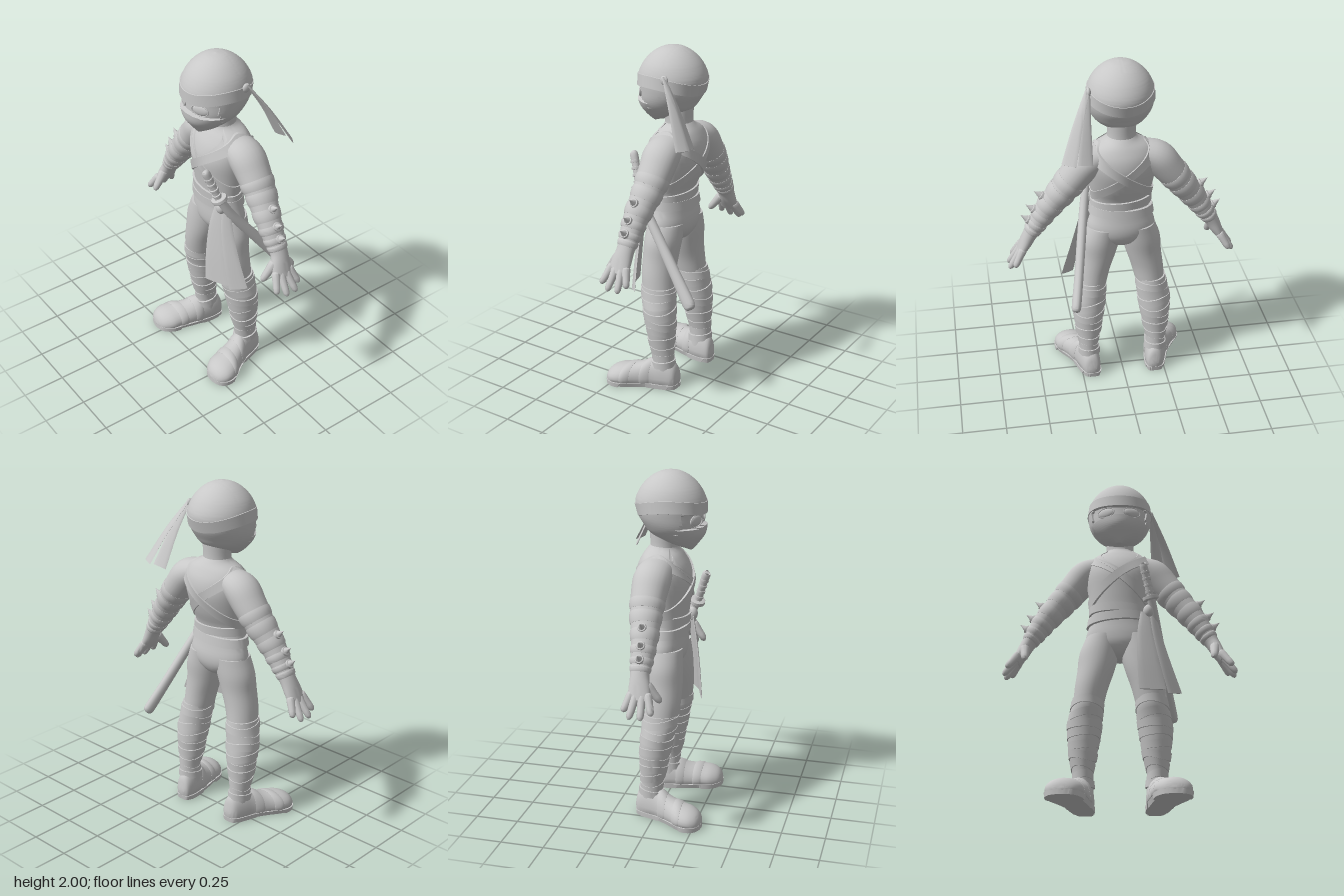
import * as THREE from 'three';
import { toCreasedNormals } from 'three/addons/utils/BufferGeometryUtils.js';

const V = (x, y, z) => new THREE.Vector3(x, y, z);
const Y = V(0, 1, 0), Z = V(0, 0, 1);

// A limb is a smooth run of elliptical rings [x, y, z, depth radius, width radius].
// With a fixed axis the rings stay parallel, otherwise they follow the path.
function limb(rings, axis = null, ref = Z) {
  const curve = (f) => new THREE.CatmullRomCurve3(rings.map(f), false, 'catmullrom', 0.5);
  const centre = curve((r) => V(r[0], r[1], r[2]));
  const radii = curve((r) => V(r[3], r[4], 0));
  return {
    count: rings.length,
    at(t) {
      const dir = axis ? axis.clone() : centre.getTangent(t);
      const u = ref.clone().addScaledVector(dir, -ref.dot(dir)).normalize();
      const v = dir.clone().cross(u);
      return { c: centre.getPoint(t), r: radii.getPoint(t), u, v };
    },
    point(t, a, grow = 0) {
      const { c, r, u, v } = this.at(t);
      return c.addScaledVector(u, Math.cos(a) * Math.max(r.x + grow, 0.0005))
        .addScaledVector(v, Math.sin(a) * Math.max(r.y + grow, 0.0005));
    },
    // Parameter at a given height, for limbs that rise steadily
    tAtY(y) {
      let lo = 0, hi = 1;
      for (let i = 0; i < 24; i++) {
        const m = (lo + hi) / 2;
        if (centre.getPoint(m).y < y) lo = m; else hi = m;
      }
      return (lo + hi) / 2;
    },
  };
}

function geometry(points, index, crease) {
  const g = new THREE.BufferGeometry().setFromPoints(points);
  g.setIndex(index);
  return toCreasedNormals(g, crease);
}

// Closed skin over a limb from t0 to t1; rule may move each vertex
function skin(l, { t0 = 0, t1 = 1, steps = (l.count - 1) * 4, sides = 24, grow = () => 0, rule, crease = 0.75 } = {}) {
  const pts = [], idx = [];
  for (let i = 0; i <= steps; i++) {
    const t = t0 + (t1 - t0) * i / steps;
    for (let j = 0; j < sides; j++) pts.push(l.point(t, j / sides * Math.PI * 2, grow(i / steps)));
  }
  const first = pts.push(l.at(t0).c) - 1, last = pts.push(l.at(t1).c) - 1;
  for (let j = 0; j < sides; j++) {
    const k = (j + 1) % sides, top = steps * sides;
    for (let i = 0; i < steps; i++) {
      const a = i * sides + j, b = i * sides + k;
      idx.push(a, b, a + sides, b, b + sides, a + sides);
    }
    idx.push(first, k, j, last, top + j, top + k);
  }
  if (rule) pts.forEach(rule);
  return geometry(pts, idx, crease);
}

// Raised cloth strip lying on a rising limb, its height given by yAt(angle)
function strip(l, yAt, half, lift, a0 = 0, a1 = Math.PI * 2, steps = 64) {
  const pts = [], idx = [];
  const across = [[-1, -0.01], [-0.9, lift], [0.9, lift], [1, -0.01]];
  for (let i = 0; i <= steps; i++) {
    const a = a0 + (a1 - a0) * i / steps;
    for (const [w, d] of across) pts.push(l.point(l.tAtY(yAt(a) + w * half), a, d));
  }
  for (let i = 0; i < steps; i++) for (let k = 0; k < 3; k++) {
    const p = i * 4 + k;
    if (a1 > a0) idx.push(p, p + 4, p + 1, p + 4, p + 5, p + 1);
    else idx.push(p, p + 1, p + 4, p + 4, p + 1, p + 5);
  }
  return geometry(pts, idx, 0.6);
}

export function createModel() {
  const model = new THREE.Group();
  const grey = new THREE.MeshStandardMaterial({ color: 0xc8c8c8, side: THREE.DoubleSide });
  grey.name = 'plain grey';
  const add = (name, geo) => {
    const m = new THREE.Mesh(geo, grey);
    m.name = name;
    model.add(m);
    return m;
  };
  const rod = (name, a, b, r0, r1, sides = 10) => {
    const p = (t, r) => [...a.map((n, i) => n + (b[i] - n) * t), r, r];
    add(name, skin(limb([p(0, r0 * 0.6), p(0.1, r0), p(0.5, (r0 + r1) / 2), p(0.88, r1), p(1, r1 * 0.35)], null, V(0.3, 0.1, 1).normalize()), { sides, steps: 8 }));
  };
  const ball = (name, x, y, z, rx, ry, rz) => {
    const m = add(name, new THREE.SphereGeometry(1, 20, 14));
    m.position.set(x, y, z);
    m.scale.set(rx, ry, rz);
    return m;
  };

  // Torso, neck, belt and crossed straps
  const torso = limb([[0, 0.865, 0.02, 0.03, 0.02], [0, 0.89, 0.02, 0.075, 0.09], [0, 0.94, 0.02, 0.105, 0.18], [0, 1.0, 0.02, 0.113, 0.196],
    [0, 1.08, 0.025, 0.107, 0.175], [0, 1.17, 0.03, 0.107, 0.165], [0, 1.27, 0.015, 0.135, 0.18],
    [0, 1.38, 0.005, 0.157, 0.198], [0, 1.46, -0.003, 0.145, 0.2], [0, 1.52, -0.007, 0.115, 0.165],
    [0, 1.56, -0.007, 0.087, 0.095], [0, 1.59, 0, 0.07, 0.072]], Y);
  add('torso', skin(torso, { sides: 40 }));
  add('neck', skin(limb([[0, 1.5, -0.002, 0.085, 0.095], [0, 1.58, -0.002, 0.078, 0.08], [0, 1.68, 0.005, 0.09, 0.085]], Y)));
  for (const s of [1, -1]) {
    add('chestStrap', strip(torso, (a) => 1.36 + s * 0.155 * Math.sin(a), 0.034, s > 0 ? 0.011 : 0.006));
    add('collar', strip(torso, (a) => 1.37 + 0.19 * Math.abs(a), 0.022, 0.005, 0, s * 0.95, 20));
  }
  add('beltLower', strip(torso, (a) => 1.105 + 0.01 * Math.sin(a), 0.028, 0.014));
  add('beltUpper', strip(torso, (a) => 1.157 - 0.01 * Math.sin(a), 0.028, 0.011));
  ball('beltKnot', 0.165, 1.13, 0.125, 0.03, 0.04, 0.03);

  // Hanging sash panels, wrapped round the front of the left thigh
  const panel = (name, normal, rings) => add(name, skin(limb(rings, null, normal.normalize()), { sides: 12 }));
  panel('sashFront', V(0.35, 0, 1), [[0.15, 1.12, 0.13, 0.006, 0.03], [0.15, 0.98, 0.15, 0.006, 0.05],
    [0.165, 0.8, 0.165, 0.006, 0.068], [0.185, 0.63, 0.172, 0.005, 0.08]]);
  panel('sashSide', V(0.75, 0, 0.8), [[0.19, 1.12, 0.11, 0.006, 0.025], [0.215, 0.98, 0.12, 0.006, 0.035],
    [0.26, 0.8, 0.12, 0.006, 0.045], [0.308, 0.63, 0.11, 0.005, 0.055]]);

  // Head: eye slot pressed in, lower mask pushed out
  const head = limb([[0, 1.56, 0.145, 0.012, 0.015], [0, 1.6, 0.105, 0.085, 0.08], [0, 1.65, 0.075, 0.15, 0.135],
    [0, 1.7, 0.06, 0.175, 0.168], [0, 1.76, 0.043, 0.192, 0.184], [0, 1.83, 0.037, 0.198, 0.187],
    [0, 1.9, 0.036, 0.168, 0.162], [0, 1.955, 0.036, 0.118, 0.115], [0, 1.988, 0.036, 0.06, 0.06], [0, 2, 0.036, 0, 0]], Y);
  add('head', skin(head, { sides: 64, steps: 90, rule: (p) => {
    const x = Math.abs(p.x), brow = 1.768 + 0.14 * Math.min(x, 0.14), cheek = 1.71 - 0.12 * Math.min(x, 0.1);
    if (p.z > 0.09 && x < 0.155 && p.y > cheek && p.y < brow) p.z -= 0.02;
    else if (p.z > 0.1 && p.y <= cheek) { p.x *= 1.03; p.z += 0.006 * (1 - x / 0.2); }
  } }));
  for (const s of [1, -1]) {
    ball('eye', s * 0.076, 1.738, 0.195, 0.05, 0.03, 0.013).rotation.y = s * 0.42;
    const rim = add('eyeRim', new THREE.TorusGeometry(0.051, 0.004, 8, 28));
    rim.position.set(s * 0.076, 1.738, 0.199);
    rim.rotation.y = s * 0.42;
    rim.scale.y = 0.62;
  }
  add('headband', strip(head, (a) => 1.806 + 0.012 * Math.cos(a) - 0.018 * Math.cos(2 * a), 0.036, 0.004));

  // Headband knot and tails
  ball('headbandKnot', 0.183, 1.85, -0.025, 0.014, 0.026, 0.024);
  const tail = (name, x, y, z, ref) => add(name, skin(limb([[0.185, 1.87, -0.025, 0.004, 0.012],
    [0.19 + (x - 0.19) * 0.5, 1.71, -0.03 + (z + 0.03) * 0.5, 0.005, 0.028], [x, y, z, 0.005, 0.043]], null, ref.normalize()), { sides: 12 }));
  tail('headbandTailInner', 0.23, 1.515, -0.225, V(0.15, 0, 1));
  tail('headbandTailOuter', 0.32, 1.525, -0.23, V(-0.5, 0, 1));

  // Sword in its sheath, hilt forward and tip behind
  const sword = (name, pts) => add(name, skin(limb(pts), { sides: 14 }));
  sword('hilt', [[0.137, 1.39, 0.215, 0.012, 0.012], [0.14, 1.38, 0.21, 0.024, 0.022],
    [0.155, 1.31, 0.185, 0.022, 0.02], [0.18, 1.2, 0.15, 0.022, 0.02]]);
  for (let i = 0; i < 4; i++) rod('hiltWrap', [0.148 + i * 0.008, 1.35 - i * 0.036, 0.2 - i * 0.012], [0.151 + i * 0.008, 1.333 - i * 0.036, 0.194 - i * 0.012], 0.025, 0.025, 14);
  rod('swordGuard', [0.176, 1.215, 0.152], [0.183, 1.19, 0.144], 0.045, 0.045, 18);
  sword('sheath', [[0.182, 1.2, 0.147, 0.024, 0.024], [0.207, 1.08, 0.08, 0.027, 0.025], [0.24, 0.92, -0.04, 0.03, 0.026],
    [0.275, 0.75, -0.17, 0.034, 0.026], [0.3, 0.64, -0.255, 0.038, 0.027], [0.305, 0.615, -0.275, 0.03, 0.022], [0.307, 0.608, -0.281, 0.012, 0.01]]);

  for (const s of [1, -1]) {
    const side = s > 0 ? 'left' : 'right';
    const flip = (rings) => rings.map(([x, ...rest]) => [s * x, ...rest]);

    // Arm with cloth bands
    const arm = limb(flip([[0.12, 1.47, -0.01, 0.095, 0.07], [0.2, 1.43, -0.017, 0.106, 0.092], [0.26, 1.36, -0.02, 0.1, 0.09],
      [0.33, 1.27, -0.017, 0.089, 0.08], [0.42, 1.15, -0.003, 0.073, 0.069], [0.48, 1.06, 0, 0.062, 0.056],
      [0.525, 0.99, 0, 0.052, 0.042], [0.555, 0.93, 0.007, 0.06, 0.036], [0.59, 0.865, 0.012, 0.064, 0.024]]));
    add(side + 'Arm', skin(arm));
    [[0.3, 0.36], [0.375, 0.43], [0.455, 0.51], [0.54, 0.59], [0.62, 0.67], [0.68, 0.73]].forEach(([t0, t1]) =>
      add(side + 'ArmWrap', skin(arm, { t0, t1, steps: 4, grow: (k) => (k === 0 || k === 1 ? 0.001 : 0.005), crease: 0.5 })));

    // Three studs along the outer forearm
    for (const t of [0.46, 0.555, 0.645]) {
      const { c, r } = arm.at(t);
      const along = (d) => [c.x + s * 0.8 * d, c.y + 0.6 * d, c.z];
      rod(side + 'SpikeBase', along(r.y - 0.01), along(r.y + 0.014), 0.026, 0.024, 12);
      rod(side + 'Spike', along(r.y), along(r.y + 0.055), 0.021, 0.003, 8);
    }

    // Hand: four spread fingers and a thumb
    [[-0.03, -0.068, 0.625, 0.81], [-0.004, -0.028, 0.655, 0.782], [0.026, 0.037, 0.658, 0.782], [0.054, 0.092, 0.635, 0.805]]
      .forEach(([z0, z1, x, y]) => rod(side + 'Finger', [s * 0.57, 0.905, z0], [s * x, y, z1], 0.024, 0.018));
    rod(side + 'Thumb', [s * 0.542, 0.95, 0.035], [s * 0.53, 0.845, 0.118], 0.029, 0.019);

    // Trouser leg and bound shin
    add(side + 'Thigh', skin(limb(flip([[0.095, 1.0, 0.022, 0.105, 0.1], [0.118, 0.9, 0.028, 0.107, 0.112], [0.135, 0.8, 0.035, 0.103, 0.104],
      [0.158, 0.7, 0.035, 0.1, 0.094], [0.173, 0.61, 0.028, 0.096, 0.086]]), Y)));
    const shin = limb(flip([[0.2, 0.08, -0.025, 0.065, 0.058], [0.205, 0.2, -0.022, 0.066, 0.056], [0.203, 0.3, -0.012, 0.077, 0.074],
      [0.2, 0.4, -0.005, 0.09, 0.088], [0.194, 0.5, 0.008, 0.094, 0.095], [0.182, 0.57, 0.02, 0.102, 0.091],
      [0.178, 0.63, 0.026, 0.1, 0.087]]), Y);
    add(side + 'Shin', skin(shin));
    for (let i = 0; i < 8; i++) {
      const y = 0.19 + i * 0.057;
      add(side + 'ShinWrap', strip(shin, (a) => y + 0.01 * Math.sin(a + i * 2) + 0.006 * Math.cos(2 * a + i), 0.024, 0.003 + (i % 3) * 0.0015, 0, Math.PI * 2, 32));
    }

    // Shoe, sole and straps
    const foot = limb(flip([[0.19, 0.055, -0.119, 0.02, 0.02], [0.193, 0.06, -0.1, 0.09, 0.047], [0.202, 0.06, -0.04, 0.13, 0.062],
      [0.218, 0.06, 0.03, 0.112, 0.07], [0.245, 0.055, 0.1, 0.085, 0.084], [0.277, 0.05, 0.17, 0.073, 0.1],
      [0.288, 0.045, 0.225, 0.066, 0.1], [0.293, 0.038, 0.265, 0.053, 0.078], [0.293, 0.032, 0.286, 0.033, 0.048],
      [0.292, 0.028, 0.295, 0.006, 0.01]]), Z, Y);
    add(side + 'Shoe', skin(foot, { rule: (p) => { p.y = Math.max(p.y, 0.02); } }));
    add(side + 'Sole', skin(foot, { grow: () => 0.004, rule: (p) => { p.y = p.y > 0.03 ? 0.028 : 0; }, crease: 0.4 }));
    for (const t of [0.33, 0.49]) add(side + 'ShoeStrap', skin(foot, { t0: t, t1: t + 0.08, steps: 4,
      grow: (k) => (k === 0 || k === 1 ? 0.001 : 0.005), rule: (p) => { p.y = Math.max(p.y, 0.02); } }));
    add(side + 'AnkleCuff', strip(shin, (a) => 0.15 - 0.012 * Math.cos(a), 0.022, 0.01, 0, Math.PI * 2, 32));
  }
  return model;
}
